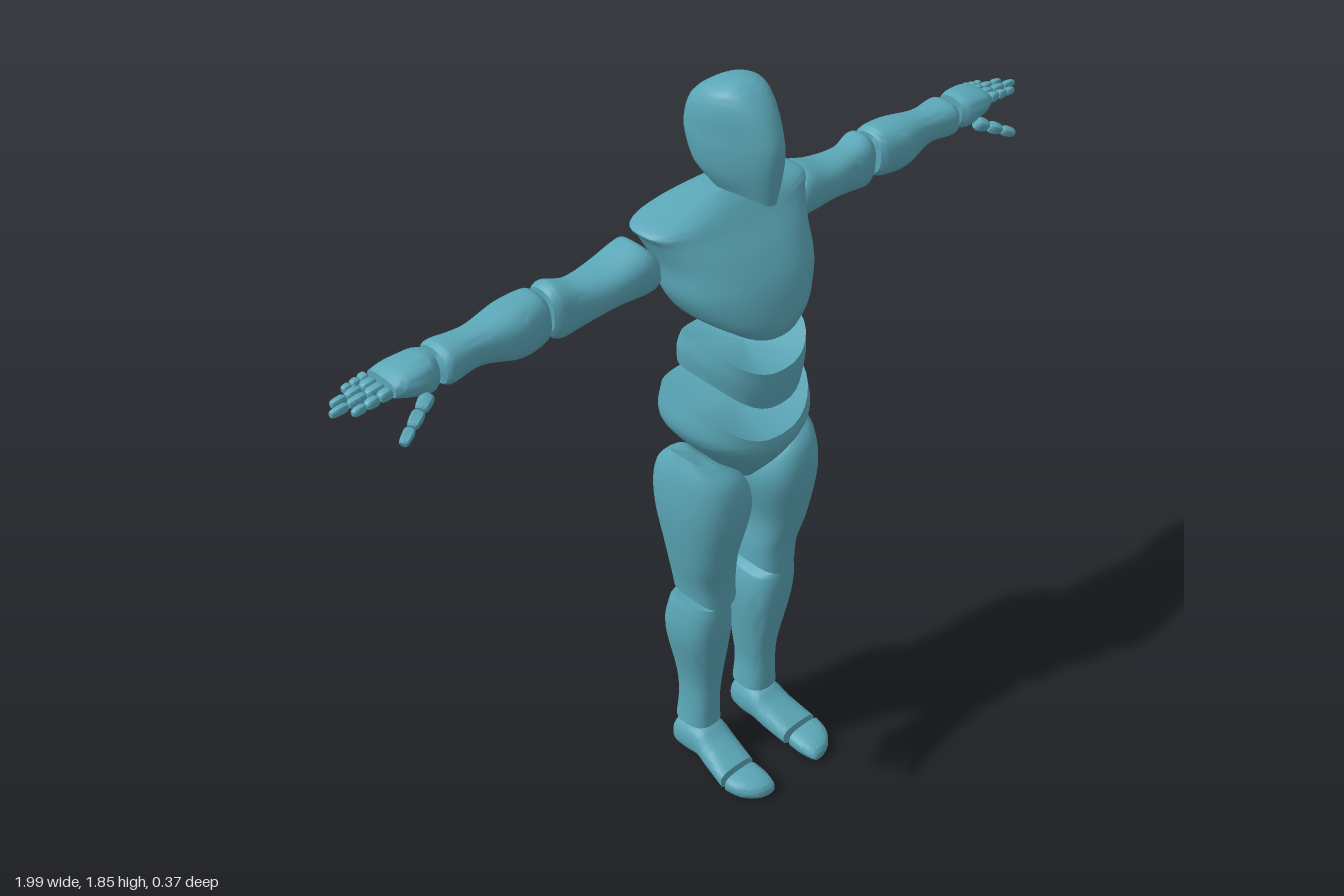
import * as THREE from 'three';
import { toCreasedNormals } from 'three/addons/utils/BufferGeometryUtils.js';

const teal = new THREE.MeshStandardMaterial({ color: 0x5ba7b8 });
teal.name = 'teal';

// Ring axes for each loft direction: (u, t, v) placed into x, y, z
const PLACE = {
  x: (u, t, v) => [t, v, u],
  y: (u, t, v) => [u, t, v],
  z: (u, t, v) => [v, u, t],
};

function catmull(a, b, c, d, k) {
  return 0.5 * (2 * b + (c - a) * k + (2 * a - 5 * b + 4 * c - d) * k * k + (3 * b - a - 3 * c + d) * k ** 3);
}

// Smooth loft. Section: [t, uMin, uMax, vMin, vMax, power, lift at +u, +v, -u, -v]
function loft(name, axis, sections, { side = 1, n = 28, sub = 5, caps = [0, 0], warp, crease = 0.7 } = {}) {
  const secs = sections.map((s) => Array.from({ length: 10 }, (_, i) => s[i] ?? (i === 5 ? 2.5 : 0)));
  const at = (i) => secs[Math.max(0, Math.min(secs.length - 1, i))];
  const pos = [], idx = [];
  const rows = (secs.length - 1) * sub + 1;
  const put = (u, t, v) => {
    let p = PLACE[axis](u, t, v);
    if (warp) p = warp(...p);
    pos.push(p[0] * side, p[1], p[2]);
  };
  const ends = [];
  for (let r = 0; r < rows; r++) {
    const i = Math.min(Math.floor(r / sub), secs.length - 2), k = r / sub - i;
    const [t, u0, u1, v0, v1, pw, ...lift] = at(i).map((_, f) => catmull(at(i - 1)[f], at(i)[f], at(i + 1)[f], at(i + 2)[f], k));
    let mean = 0;
    for (let j = 0; j < n; j++) {
      const a = (j / n) * Math.PI * 2, c = Math.cos(a), s = Math.sin(a);
      const bend = (w) => Math.sign(w) * Math.abs(w) ** (2 / pw);
      const h = t + c * c * (c > 0 ? lift[0] : lift[2]) + s * s * (s > 0 ? lift[1] : lift[3]);
      mean += h / n;
      put((u0 + u1) / 2 + ((u1 - u0) / 2) * bend(c), h, (v0 + v1) / 2 + ((v1 - v0) / 2) * bend(s));
    }
    if (r === 0 || r === rows - 1) ends.push([(u0 + u1) / 2, mean + caps[ends.length], (v0 + v1) / 2]);
  }
  ends.forEach((e) => put(...e));
  const tri = (a, b, c) => (side > 0 ? idx.push(a, b, c) : idx.push(a, c, b));
  const last = (rows - 1) * n;
  for (let j = 0; j < n; j++) {
    const q = (j + 1) % n;
    for (let r = 0; r < rows - 1; r++) {
      const a = r * n + j, b = r * n + q;
      tri(a, a + n, b);
      tri(b, a + n, b + n);
    }
    tri(rows * n, j, q);
    tri(rows * n + 1, last + q, last + j);
  }
  const g = new THREE.BufferGeometry();
  g.setAttribute('position', new THREE.Float32BufferAttribute(pos, 3));
  g.setIndex(idx);
  const mesh = new THREE.Mesh(toCreasedNormals(g, crease), teal);
  mesh.name = name;
  return mesh;
}

// Small tapered finger bone between two points
function bone(name, a, b, r, side) {
  const len = a.distanceTo(b);
  const m = loft(name, 'y', [
    [0, -r * 0.75, r * 0.75, -r * 0.75, r * 0.75],
    [len * 0.2, -r, r, -r, r],
    [len * 0.8, -r * 0.9, r * 0.9, -r * 0.9, r * 0.9],
    [len, -r * 0.6, r * 0.6, -r * 0.6, r * 0.6],
  ], { n: 10, sub: 2 });
  const flip = new THREE.Vector3(side, 1, 1);
  const p = a.clone().multiply(flip), d = b.clone().multiply(flip).sub(p).normalize();
  m.position.copy(p);
  m.quaternion.setFromUnitVectors(new THREE.Vector3(0, 1, 0), d);
  return m;
}

function digit(name, from, to, r, count, side) {
  const g = new THREE.Group();
  g.name = name;
  for (let i = 0; i < count; i++) {
    const a = from.clone().lerp(to, i / count), b = from.clone().lerp(to, (i + 0.92) / count);
    g.add(bone(name + 'Bone', a, b, r * (1 - 0.12 * i), side));
  }
  return g;
}

function arm(side) {
  const g = new THREE.Group(), o = { side };
  g.name = side > 0 ? 'leftArm' : 'rightArm';
  g.add(loft('upperArm', 'x', [
    [0.185, -0.14, -0.035, 1.425, 1.53, 2.5, 0.02, 0.045, 0.02, 0],
    [0.235, -0.15, -0.02, 1.42, 1.54, 2.5, 0, 0.01],
    [0.32, -0.145, -0.025, 1.425, 1.518],
    [0.4, -0.135, -0.04, 1.41, 1.515],
    [0.455, -0.145, -0.045, 1.4, 1.53],
    [0.475, -0.138, -0.055, 1.42, 1.52],
  ], o));
  g.add(loft('forearm', 'x', [
    [0.487, -0.138, -0.05, 1.42, 1.52],
    [0.505, -0.145, -0.04, 1.41, 1.53],
    [0.57, -0.148, -0.03, 1.41, 1.528],
    [0.66, -0.13, -0.045, 1.435, 1.515],
    [0.735, -0.14, -0.038, 1.43, 1.517],
    [0.752, -0.135, -0.045, 1.435, 1.51],
  ], o));
  g.add(loft('palm', 'x', [
    [0.766, -0.125, -0.05, 1.44, 1.515],
    [0.79, -0.135, -0.035, 1.435, 1.52],
    [0.84, -0.142, -0.035, 1.45, 1.513],
    [0.872, -0.14, -0.048, 1.463, 1.5, 3],
  ], o));
  [[-0.137, 0.935], [-0.112, 0.98], [-0.086, 1], [-0.06, 0.967]].forEach(([z, x], i) =>
    g.add(digit('finger', new THREE.Vector3(0.876, 1.48 + i * 0.001, z),
      new THREE.Vector3(x, 1.474, z), 0.0125, 3, side)));
  g.add(digit('thumb', new THREE.Vector3(0.805, 1.45, -0.04), new THREE.Vector3(0.905, 1.402, 0.003), 0.016, 3, side));
  return g;
}

function leg(side) {
  const g = new THREE.Group(), o = { side };
  g.name = side > 0 ? 'leftLeg' : 'rightLeg';
  g.add(loft('thigh', 'y', [
    [0.535, 0.035, 0.162, -0.1, 0.045, 2.5, 0.035, 0, 0.03, 0.02],
    [0.61, 0.037, 0.168, -0.105, 0.048],
    [0.7, 0.043, 0.185, -0.112, 0.07],
    [0.83, 0.015, 0.2, -0.14, 0.096],
    [0.92, 0.035, 0.195, -0.13, 0.085, 2.4, 0.01, 0, -0.02, 0],
    [0.965, 0.08, 0.178, -0.08, 0.04, 2.2, 0.025, 0, -0.04, 0],
  ], { ...o, caps: [0.03, 0.01] }));
  g.add(loft('shin', 'y', [
    [0.122, 0.05, 0.145, -0.115, -0.005],
    [0.2, 0.055, 0.138, -0.11, -0.003],
    [0.28, 0.048, 0.142, -0.118, 0.005],
    [0.42, 0.036, 0.17, -0.132, 0.03],
    [0.5, 0.045, 0.168, -0.118, 0.04],
    [0.52, 0.055, 0.16, -0.106, 0.04, 2.5, 0.022, 0.018, -0.005, 0.005],
  ], o));
  g.add(loft('foot', 'z', [
    [-0.122, 0.03, 0.07, 0.075, 0.125],
    [-0.105, 0.012, 0.1, 0.06, 0.142],
    [-0.06, 0.012, 0.116, 0.05, 0.147],
    [-0.02, 0.018, 0.116, 0.047, 0.148],
    [0.02, 0.015, 0.088, 0.047, 0.155],
    [0.09, 0.005, 0.056, 0.055, 0.165, 3],
  ], o));
  g.add(loft('toes', 'z', [
    [0.105, 0.003, 0.056, 0.06, 0.165, 3],
    [0.145, 0.003, 0.052, 0.06, 0.155, 2.8],
    [0.175, 0.006, 0.042, 0.065, 0.13],
    [0.186, 0.01, 0.03, 0.072, 0.105],
  ], o));
  return g;
}

export function createModel() {
  const model = new THREE.Group();
  model.name = 'mannequin';

  // Head narrows toward the face, with a tilted underside
  model.add(loft('head', 'y', [
    [1.62, -0.055, 0.055, -0.085, 0.092, 2.3, 0, -0.02, 0, 0.018],
    [1.66, -0.073, 0.073, -0.118, 0.102],
    [1.71, -0.081, 0.081, -0.137, 0.108],
    [1.75, -0.081, 0.081, -0.14, 0.102],
    [1.8, -0.079, 0.079, -0.12, 0.077],
    [1.835, -0.065, 0.065, -0.08, 0.045],
    [1.851, -0.038, 0.038, -0.04, 0.02],
  ], { caps: [0.01, 0.005], warp: (x, y, z) => [x * (1 - 0.4 * Math.min(1, Math.max(0, (z + 0.02) / 0.12))), y, z] }));

  // Rib cage flares to the shoulders, then closes to the neck
  model.add(loft('chest', 'y', [
    [1.265, -0.115, 0.115, -0.125, 0.122, 2.3, 0.065, 0.03, 0.065, 0],
    [1.325, -0.15, 0.15, -0.142, 0.131, 2.3, 0.03, 0.01, 0.03, 0],
    [1.41, -0.182, 0.182, -0.152, 0.112, 2.4],
    [1.475, -0.19, 0.19, -0.155, 0.075, 2.6],
    [1.53, -0.21, 0.21, -0.16, 0.032, 3],
    [1.557, -0.222, 0.222, -0.16, 0.012, 3],
    [1.578, -0.15, 0.15, -0.14, -0.005, 2.6],
    [1.6, -0.055, 0.055, -0.1, -0.03, 2.3],
  ], { n: 36, caps: [0.04, 0] }));

  // Saddle-shaped waist
  model.add(loft('abdomen', 'y', [
    [1.115, -0.128, 0.128, -0.145, 0.12, 2.4, 0.068, 0, 0.068, 0.04],
    [1.165, -0.135, 0.135, -0.14, 0.128, 2.4, 0.066, 0, 0.066, 0.03],
    [1.21, -0.132, 0.132, -0.125, 0.128, 2.4, 0.062, 0, 0.062, 0.022],
  ], { n: 36, caps: [0.03, -0.02] }));

  // Hips taper to a wedge between the legs
  model.add(loft('pelvis', 'y', [
    [0.873, -0.032, 0.032, -0.09, 0.03, 2.4],
    [0.935, -0.085, 0.085, -0.135, 0.085, 2.3],
    [0.985, -0.145, 0.145, -0.172, 0.118, 2.3, 0.02, 0, 0.02, 0],
    [1.01, -0.17, 0.17, -0.182, 0.125, 2.4, 0.045, 0, 0.045, 0.03],
    [1.032, -0.162, 0.162, -0.175, 0.122, 2.4, 0.088, 0, 0.088, 0.058],
  ], { n: 36, caps: [0, -0.01] }));

  for (const side of [1, -1]) model.add(arm(side), leg(side));
  return model;
}
